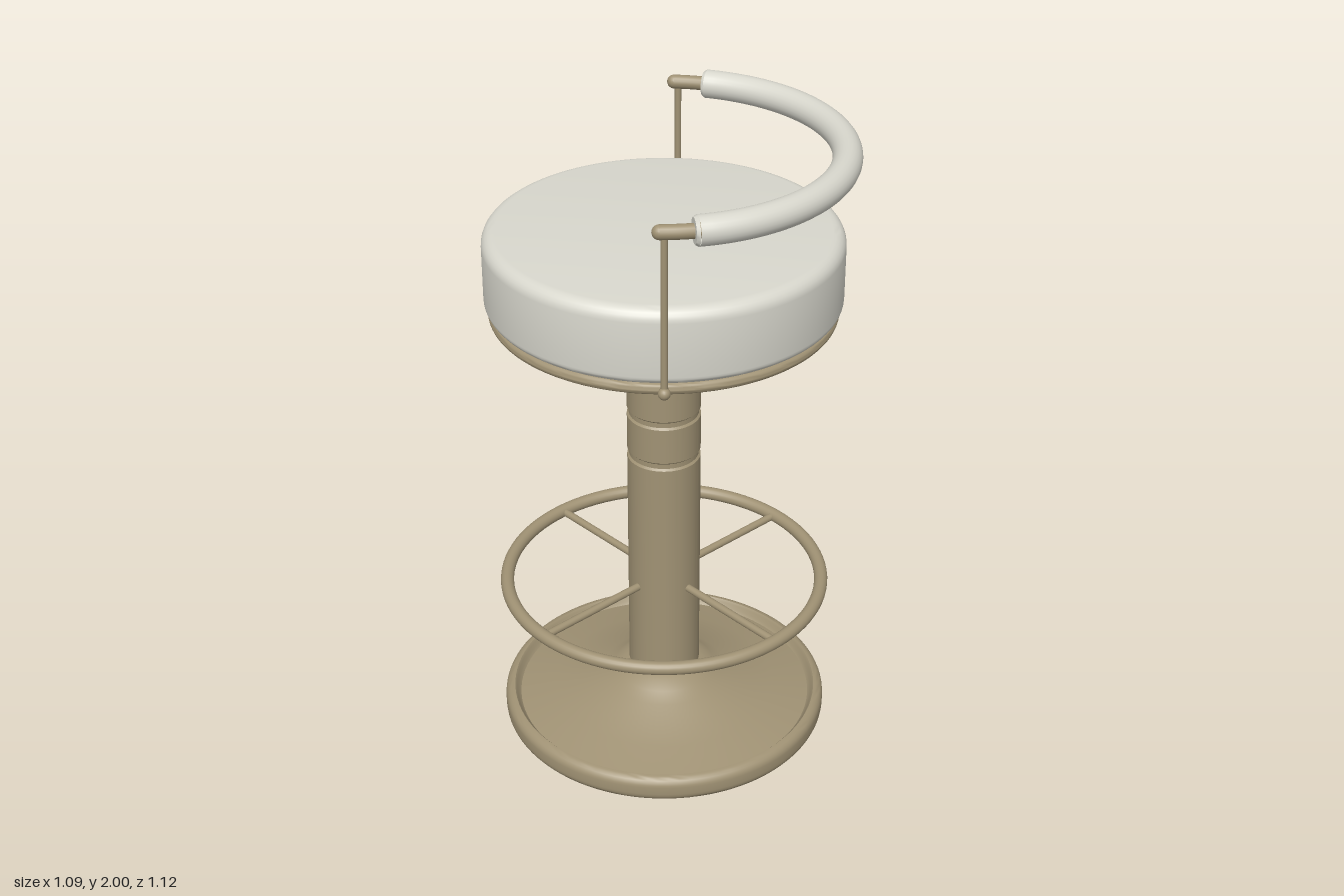
import * as THREE from 'three';
import { toCreasedNormals } from 'three/addons/utils/BufferGeometryUtils.js';

export function createModel() {
  const stool = new THREE.Group();
  stool.name = 'barStool';

  const bronze = new THREE.MeshStandardMaterial({ color: 0xa09274 });
  bronze.name = 'bronze';
  const cream = new THREE.MeshStandardMaterial({ color: 0xd8d7cd });
  cream.name = 'cream';

  const AXIS = -0.018; // x of the central column

  const add = (name, geometry, material, x = 0, y = 0, z = 0) => {
    const mesh = new THREE.Mesh(geometry, material);
    mesh.name = name;
    mesh.position.set(x, y, z);
    stool.add(mesh);
    return mesh;
  };

  // Turned part from a [radius, height] profile, listed bottom to top
  const turned = (name, profile, material, z = 0) => {
    const points = profile.map(([r, y]) => new THREE.Vector2(r, y));
    const geometry = new THREE.LatheGeometry(points, 96);
    return add(name, toCreasedNormals(geometry, 0.6), material, AXIS, 0, z);
  };

  // Rounded profile corner: quarter arc around (r, y), starting at angle a
  const corner = (r, y, radius, a) => Array.from({ length: 7 }, (_, i) => {
    const t = a + (i / 6) * Math.PI / 2;
    return [r + radius * Math.cos(t), y + radius * Math.sin(t)];
  });

  // Round bar between two points
  const bar = (name, a, b, radius) => {
    const dir = b.clone().sub(a);
    const mesh = add(name, new THREE.CylinderGeometry(radius, radius, dir.length(), 16), bronze);
    mesh.position.copy(a).add(b).multiplyScalar(0.5);
    mesh.quaternion.setFromUnitVectors(new THREE.Vector3(0, 1, 0), dir.normalize());
  };

  // Base: rounded rim around a shallow flared dish
  turned('base', [
    [0, 0.003], [0.48, 0.003],
    ...corner(0.485, 0.035, 0.034, -Math.PI / 2),
    ...corner(0.489, 0.06, 0.03, 0),
    [0.483, 0.083], [0.478, 0.07], [0.47, 0.062],
    [0.355, 0.088], [0.2, 0.133], [0.16, 0.158], [0.115, 0.186], [0, 0.186],
  ], bronze);

  // Column with two shallow grooves
  turned('column', [
    [0.1, 0.175], [0.113, 0.19],
    [0.113, 0.958], [0.107, 0.964], [0.107, 0.98], [0.113, 0.986],
    [0.113, 1.102], [0.107, 1.108], [0.107, 1.124], [0.113, 1.13],
    [0.113, 1.34],
  ], bronze);

  // Stepped collar, flared hub and plate below the seat
  turned('seatSupport', [
    [0, 1.325], [0.17, 1.325], [0.17, 1.355],
    [0.19, 1.355], [0.19, 1.375],
    [0.215, 1.375], [0.3, 1.422],
    [0.445, 1.422], [0.455, 1.428], [0.465, 1.455], [0, 1.455],
  ], bronze);
  turned('seatRing', [
    [0, 1.453], [0.495, 1.453],
    ...corner(0.5, 1.47, 0.018, -Math.PI / 2),
    ...corner(0.5, 1.47, 0.018, 0),
    [0, 1.488],
  ], bronze);

  // Cushion
  turned('cushion', [
    [0, 1.486],
    ...corner(0.505, 1.511, 0.025, -Math.PI / 2),
    ...corner(0.49, 1.677, 0.04, 0),
    [0, 1.717],
  ], cream, -0.01);

  // Foot ring with four diagonal spokes
  const ring = add('footRing', new THREE.TorusGeometry(0.498, 0.021, 20, 96), bronze, AXIS, 0.508, 0);
  ring.rotation.x = Math.PI / 2;
  for (let i = 0; i < 4; i++) {
    const a = Math.PI / 4 + i * Math.PI / 2;
    const at = (r) => new THREE.Vector3(AXIS + r * Math.cos(a), 0.508, r * Math.sin(a));
    bar('footRingSpoke', at(0.09), at(0.495), 0.012);
  }

  // Curved armrest: padded grip over a thinner rail
  const R = 0.535, CX = -0.032, ARM_Y = 1.957;
  const onArc = (a) => new THREE.Vector3(CX + R * Math.cos(a), ARM_Y, R * Math.sin(a));
  const arc = (end) => new THREE.CatmullRomCurve3(
    Array.from({ length: 33 }, (_, i) => onArc(end * (i / 16 - 1))));
  const gripEnd = 1.335, railEnd = 1.525;
  add('armrestRail', new THREE.TubeGeometry(arc(railEnd), 80, 0.021, 16), bronze);
  add('armrestGrip', new THREE.TubeGeometry(arc(gripEnd), 96, 0.043, 24), cream);

  for (const side of [1, -1]) {
    // Bevelled end of the grip, pointing along the rail
    const end = add('gripEnd', toCreasedNormals(new THREE.CylinderGeometry(0.037, 0.043, 0.01, 24), 0.6), cream);
    const tangent = new THREE.Vector3(-Math.sin(gripEnd), 0, side * Math.cos(gripEnd));
    end.position.copy(onArc(side * gripEnd)).addScaledVector(tangent, 0.005);
    end.quaternion.setFromUnitVectors(new THREE.Vector3(0, 1, 0), tangent);

    // Rounded rail tip, upright rod and its fixing on the seat ring
    const tip = onArc(side * railEnd);
    add('railTip', new THREE.SphereGeometry(0.021, 16, 12), bronze, tip.x, tip.y, tip.z);
    const z = side * 0.533;
    bar('armrestRod', new THREE.Vector3(0.005, 1.47, z), new THREE.Vector3(0.005, ARM_Y, z), 0.01);
    bar('rodPeg', new THREE.Vector3(0.005, 1.472, side * 0.5), new THREE.Vector3(0.005, 1.472, z), 0.013);
    add('rodFoot', new THREE.SphereGeometry(0.018, 16, 12), bronze, 0.005, 1.472, side * 0.537);
  }

  return stool;
}
